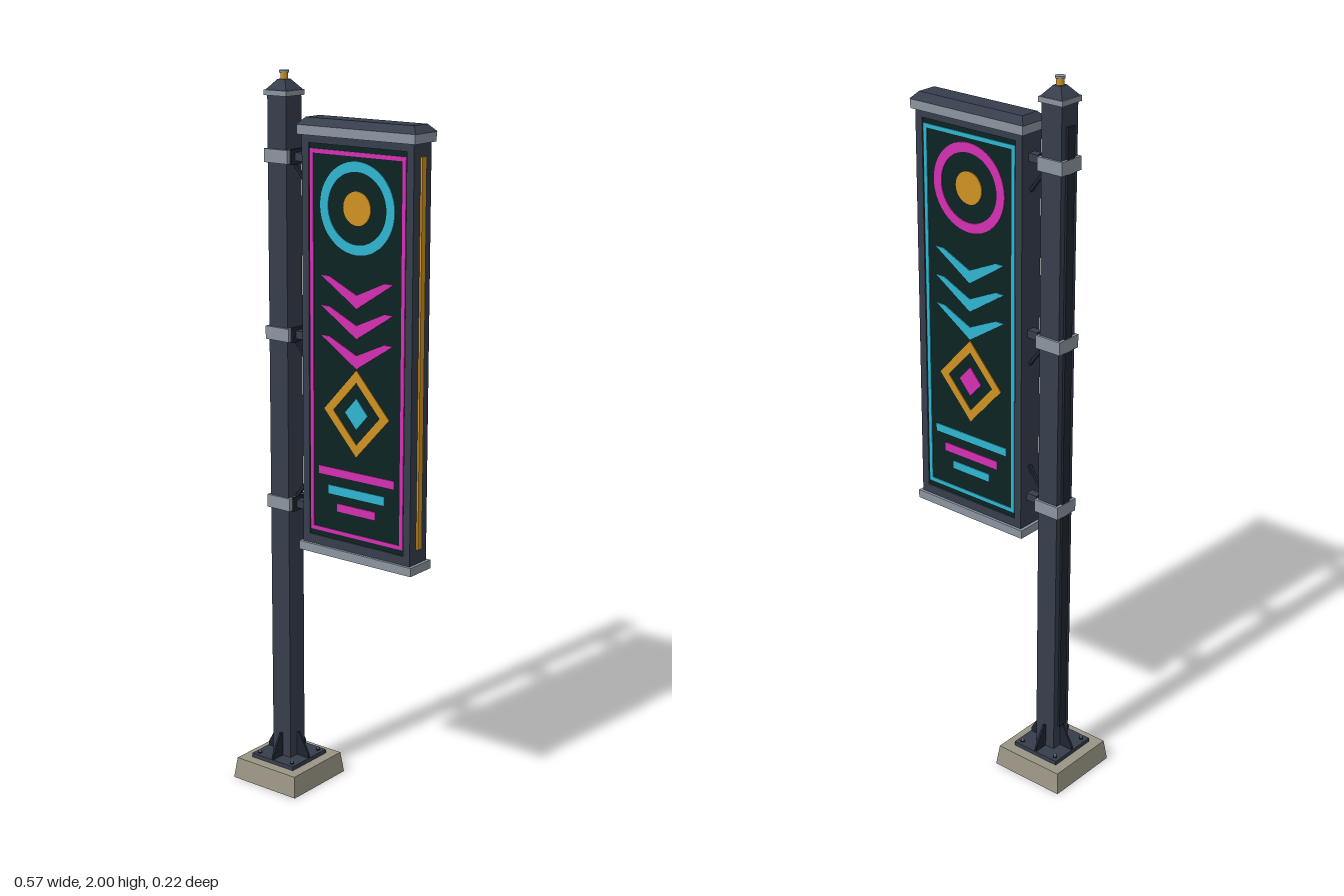
import * as THREE from 'three';

const mat = (name, color) => {
  const m = new THREE.MeshStandardMaterial({ color });
  m.name = name;
  return m;
};

export function createModel() {
  const slate = mat('slate', 0x363e4c), dark = mat('dark steel', 0x1f2631);
  const grey = mat('light metal', 0x8b959f), stone = mat('concrete', 0x9a9585);
  const green = mat('panel green', 0x0c2422), magenta = mat('magenta', 0xd42fb2);
  const cyan = mat('cyan', 0x2fb6d2), gold = mat('gold', 0xcf9222);

  const model = new THREE.Group();
  model.name = 'bannerPost';
  const PX = -0.173, CX = 0.094; // pole and cabinet centres

  const add = (name, geo, material, x, y, z, parent = model) => {
    const m = new THREE.Mesh(geo, material);
    m.name = name;
    m.position.set(x, y, z);
    parent.add(m);
    return m;
  };
  const box = (name, w, h, d, material, x, y, z, parent) =>
    add(name, new THREE.BoxGeometry(w, h, d), material, x, y, z, parent);
  // Tapered block: half sizes at the bottom and top, standing on y = 0
  const frustum = (bx, bz, tx, tz, h) => {
    const g = new THREE.BoxGeometry(2, h, 2), p = g.attributes.position;
    for (let i = 0; i < p.count; i++) {
      const top = p.getY(i) > 0;
      p.setXYZ(i, p.getX(i) * (top ? tx : bx), top ? h : 0, p.getZ(i) * (top ? tz : bz));
    }
    g.computeVertexNormals();
    return g;
  };
  const outline = (pts, Type = THREE.Shape) => new Type(pts.map(p => new THREE.Vector2(...p)));
  const plate = (shape, depth) =>
    new THREE.ExtrudeGeometry(shape, { depth, bevelEnabled: false, curveSegments: 24 });

  // Footing, base plate, bolts and gussets
  add('footing', frustum(0.1125, 0.1125, 0.105, 0.105, 0.06), stone, PX, 0, 0);
  box('basePlate', 0.15, 0.012, 0.15, slate, PX, 0.066, 0);
  for (const sx of [-1, 1]) for (const sz of [-1, 1]) {
    add('boltWasher', new THREE.CylinderGeometry(0.006, 0.006, 0.004, 12), dark, PX + sx * 0.059, 0.073, sz * 0.059);
    add('anchorBolt', new THREE.CylinderGeometry(0.004, 0.004, 0.01, 6), grey, PX + sx * 0.059, 0.076, sz * 0.059);
  }
  for (let i = 0; i < 4; i++) {
    const g = plate(outline([[0.028, 0], [0.073, 0], [0.073, 0.012], [0.04, 0.07], [0.028, 0.07]]), 0.006);
    g.translate(0, 0, -0.003);
    add('gusset', g, dark, PX, 0.072, 0).rotation.y = i * Math.PI / 2;
  }

  // Pole with cable cover, cap and finial
  box('pole', 0.063, 1.87, 0.063, slate, PX, 1.005, 0);
  box('cableCover', 0.007, 1.74, 0.028, dark, PX - 0.0345, 1.01, 0);
  box('capCollar', 0.076, 0.014, 0.076, grey, PX, 1.943, 0);
  add('poleCap', frustum(0.035, 0.035, 0.012, 0.012, 0.027), slate, PX, 1.95, 0);
  add('finial', new THREE.CylinderGeometry(0.01, 0.01, 0.02, 16), gold, PX, 1.985, 0);
  add('finialTop', new THREE.CylinderGeometry(0.013, 0.013, 0.006, 20), grey, PX, 1.997, 0);

  // Clamps, arms and diagonal struts
  for (const [y, dir] of [[1.78, -1], [1.305, -1], [0.83, 1]]) {
    const bracket = new THREE.Group();
    bracket.name = 'bracket';
    bracket.position.y = y;
    model.add(bracket);
    box('clamp', 0.079, 0.036, 0.076, grey, PX, 0, 0, bracket);
    box('armPlate', 0.006, 0.04, 0.052, dark, -0.131, 0, 0, bracket);
    box('arm', 0.05, 0.022, 0.024, slate, -0.108, 0, 0, bracket);
    const a = new THREE.Vector2(-0.136, dir * 0.02), b = new THREE.Vector2(-0.083, dir * 0.09);
    box('strut', a.distanceTo(b), 0.008, 0.01, dark, (a.x + b.x) / 2, (a.y + b.y) / 2, 0, bracket)
      .rotation.z = Math.atan2(b.y - a.y, b.x - a.x);
  }

  // Cabinet: core, rails, trims and sloped roof
  box('panelCore', 0.33, 1.08, 0.066, green, CX, 1.295, 0);
  for (const s of [-1, 1]) box('sideRail', 0.022, 1.11, 0.074, slate, CX + s * 0.168, 1.293, 0);
  box('topRail', 0.32, 0.024, 0.074, slate, CX, 1.836, 0);
  box('bottomRail', 0.32, 0.028, 0.074, slate, CX, 0.751, 0);
  box('topTrim', 0.376, 0.026, 0.092, grey, CX, 1.857, 0);
  box('bottomTrim', 0.376, 0.024, 0.09, grey, CX, 0.728, 0);
  add('roof', frustum(0.19, 0.047, 0.172, 0.029, 0.019), slate, CX, 1.869, 0);
  box('edgeLight', 0.008, 1.03, 0.018, gold, CX + 0.181, 1.295, 0);

  // Painted face, with the two accents swapped on the back
  const diamond = (w, h, Type) => outline([[0, -h], [w, 0], [0, h], [-w, 0]], Type);
  const rect = (w, h, Type) => outline([[-w, -h], [w, -h], [w, h], [-w, h]], Type);
  const makeFace = (name, a, b) => {
    const face = new THREE.Group();
    face.name = name;
    face.position.x = CX;
    model.add(face);
    const paint = (part, shape, material, y) => add(part, plate(shape, 0.003), material, 0, y, 0.0325, face);

    const border = rect(0.154, 0.515);
    border.holes.push(rect(0.143, 0.504, THREE.Path));
    paint('border', border, a, 1.295);

    const ring = new THREE.Shape().absarc(0, 0, 0.12, 0, Math.PI * 2);
    ring.holes.push(new THREE.Path().absarc(0, 0, 0.094, 0, Math.PI * 2));
    paint('ring', ring, b, 1.667);
    paint('ringCentre', new THREE.Shape().absarc(0, 0, 0.044, 0, Math.PI * 2), gold, 1.667);

    for (let i = 0; i < 3; i++) {
      const chevron = outline([[-0.117, 0], [0, -0.076], [0.117, 0], [0.09, 0], [0, -0.041], [-0.09, 0]]);
      paint('chevron', chevron, a, 1.483 - i * 0.08);
    }

    const frame = diamond(0.107, 0.118);
    frame.holes.push(diamond(0.077, 0.085, THREE.Path));
    paint('diamondFrame', frame, gold, 1.125);
    paint('diamondCentre', diamond(0.037, 0.042), b, 1.125);

    paint('barLong', rect(0.125, 0.011), a, 0.953);
    paint('barMiddle', rect(0.093, 0.012), b, 0.903);
    paint('barShort', rect(0.064, 0.011), a, 0.856);
    return face;
  };
  makeFace('frontFace', magenta, cyan);
  makeFace('backFace', cyan, magenta).rotation.y = Math.PI;

  return model;
}
